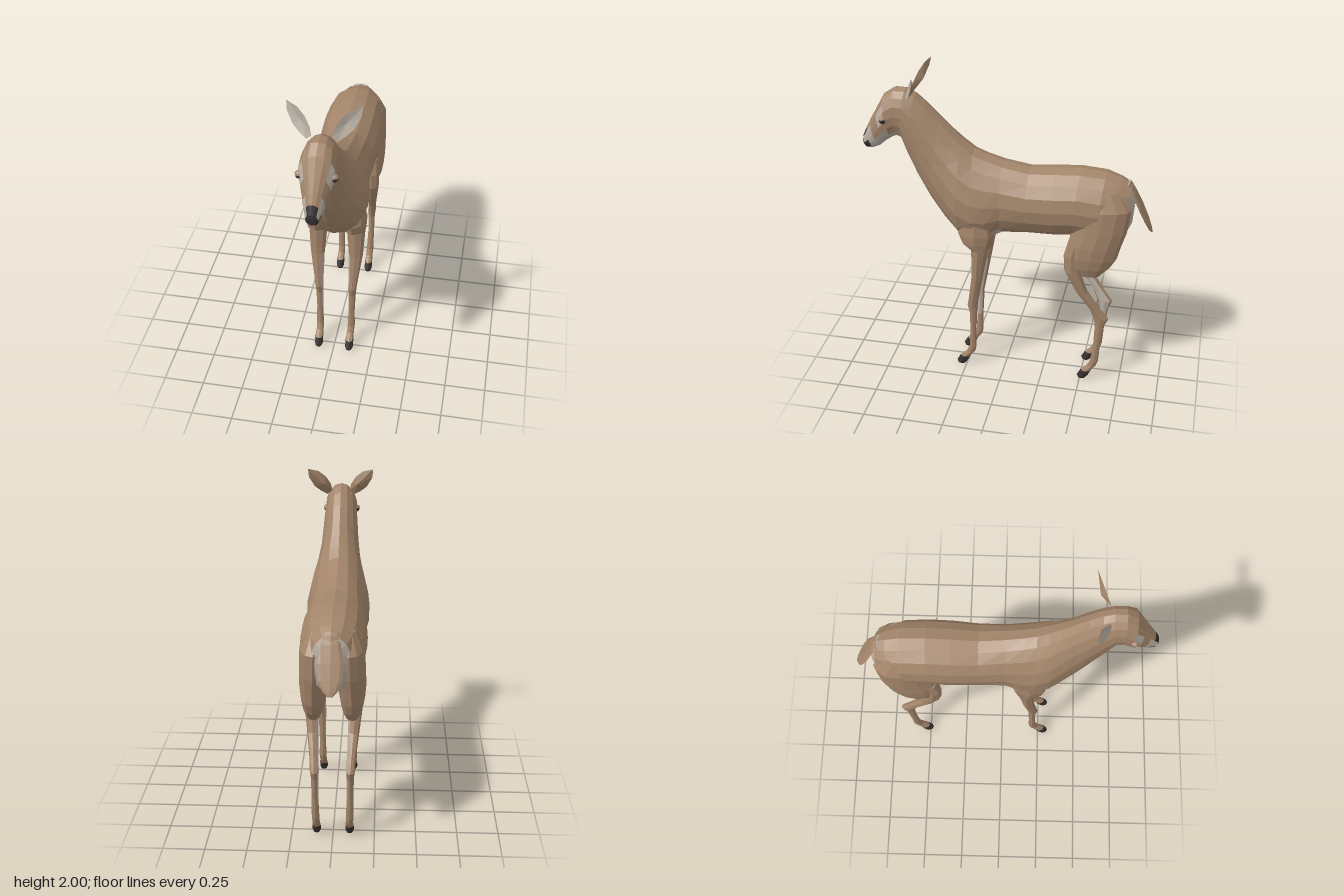
import * as THREE from 'three';

const V = (x, y, z) => new THREE.Vector3(x, y, z);

function mat(name, color) {
  const m = new THREE.MeshStandardMaterial({ color, flatShading: true });
  m.name = name;
  return m;
}

// Gathers triangles into one list per material and makes a grouped mesh.
function meshFrom(name, faces, mats) {
  const pos = [];
  const geo = new THREE.BufferGeometry();
  mats.forEach((m, k) => {
    const start = pos.length / 3;
    faces.filter(f => f.k === k).forEach(f => f.p.forEach(v => pos.push(v.x, v.y, v.z)));
    geo.addGroup(start, pos.length / 3 - start, k);
  });
  geo.setAttribute('position', new THREE.Float32BufferAttribute(pos, 3));
  geo.computeVertexNormals();
  const mesh = new THREE.Mesh(geo, mats);
  mesh.name = name;
  return mesh;
}

// Skins a row of rings; colour(i, centre) picks the material of each face.
function loft(name, rings, mats, colour = () => 0) {
  const faces = [], n = rings[0].length, last = rings.length - 1;
  const add = (i, ...p) => {
    const c = V(0, 0, 0);
    p.forEach(v => c.addScaledVector(v, 1 / p.length));
    const k = colour(i, c);
    if (p.length === 4) faces.push({ k, p: [p[0], p[1], p[2]] }, { k, p: [p[0], p[2], p[3]] });
    else faces.push({ k, p });
  };
  const mid = r => r.reduce((s, v) => s.addScaledVector(v, 1 / n), V(0, 0, 0));
  const a = mid(rings[0]), b = mid(rings[last]);
  for (let j = 0; j < n; j++) {
    const q = (j + 1) % n;
    for (let i = 0; i < last; i++) add(i, rings[i][j], rings[i + 1][j], rings[i + 1][q], rings[i][q]);
    add(0, a, rings[0][j], rings[0][q]);
    add(last, b, rings[last][q], rings[last][j]);
  }
  return meshFrom(name, faces, mats);
}

// Upright ring between a top and a bottom point; pear widens its lower half.
function bodyRing([zt, yt, zb, yb, w, pear = 0], n = 16) {
  return Array.from({ length: n }, (_, j) => {
    const t = j / n * Math.PI * 2, c = Math.cos(t), f = (1 + c) / 2;
    return V(w * Math.sin(t) * (1 - pear * c), yb + (yt - yb) * f, zb + (zt - zb) * f);
  });
}

// Level ring for limbs.
function limbRing([y, z, x, hz, hx], side, n = 8) {
  return Array.from({ length: n }, (_, j) => {
    const t = j / n * Math.PI * 2;
    return V(side * x + hx * Math.sin(t), y, z + hz * Math.cos(t));
  });
}

export function createModel() {
  const group = new THREE.Group();
  group.name = 'deer';
  const brown = mat('brown coat', 0xa3856a);
  const pale = mat('pale fur', 0xb8afa3);
  const dark = mat('dark horn', 0x35302e);
  const mats = [brown, pale, dark];

  // Torso, neck and head: [top z, top y, bottom z, bottom y, half width, pear]
  const body = [
    [-0.78, 1.32, -0.765, 1.12, 0.06],
    [-0.755, 1.375, -0.72, 1.02, 0.12],
    [-0.69, 1.41, -0.62, 0.98, 0.165],
    [-0.6, 1.44, -0.55, 1.0, 0.185],
    [-0.45, 1.45, -0.42, 1.02, 0.19],
    [-0.3, 1.44, -0.3, 1.005, 0.19],
    [-0.14, 1.425, -0.14, 1.0, 0.18],
    [0.02, 1.455, 0.02, 0.985, 0.175, 0.05],
    [0.13, 1.49, 0.1, 0.935, 0.19, 0.15],
    [0.2, 1.52, 0.19, 0.925, 0.195, 0.2],
    [0.27, 1.575, 0.29, 0.955, 0.185, 0.2],
    [0.33, 1.63, 0.38, 1.05, 0.155, 0.15],
    [0.4, 1.7, 0.47, 1.175, 0.13, 0.1],
    [0.48, 1.78, 0.55, 1.32, 0.115],
    [0.55, 1.84, 0.61, 1.46, 0.107],
    [0.61, 1.87, 0.645, 1.555, 0.1],
    [0.68, 1.87, 0.67, 1.565, 0.1, -0.05],
    [0.745, 1.825, 0.705, 1.55, 0.102, -0.1],
    [0.795, 1.735, 0.75, 1.52, 0.08, -0.08],
    [0.84, 1.655, 0.79, 1.485, 0.06],
    [0.868, 1.6, 0.83, 1.467, 0.047],
    [0.89, 1.55, 0.868, 1.465, 0.036],
    [0.893, 1.53, 0.885, 1.48, 0.022]
  ];
  group.add(loft('body', body.map(s => bodyRing(s)), mats, (i, c) => {
    const x = Math.abs(c.x);
    if (i === 0) return c.y < 1.34 ? 1 : 0;                        // rump patch
    if (i === 1) return x < 0.08 && c.y < 1.2 ? 1 : 0;
    if (i >= 4 && i <= 7) return c.y < 1.03 ? 1 : 0;               // belly
    if (i === 15 || i === 16) return c.y < 1.6 ? 1 : 0;            // throat
    if (i === 17) return c.y < 1.6 || (x > 0.07 && c.y > 1.64 && c.y < 1.73) ? 1 : 0;
    if (i === 18) return c.y < 1.565 ? 1 : 0;                      // jaw
    if (i === 19) return c.y < 1.53 || (x > 0.03 && c.y < 1.6) ? 1 : 0;
    if (i === 20) return c.y < 1.49 || (x > 0.025 && c.y > 1.53) ? 1 : 2; // muzzle
    return i > 20 ? 2 : 0;                                         // nose
  }));

  // Limb profiles, downwards: [y, z, x, half depth, half width]
  const thigh = [
    [1.36, -0.59, 0.08, 0.1, 0.06], [1.25, -0.605, 0.1, 0.16, 0.083],
    [1.1, -0.585, 0.105, 0.16, 0.085], [1.0, -0.555, 0.11, 0.16, 0.082],
    [0.92, -0.54, 0.112, 0.155, 0.074], [0.85, -0.53, 0.112, 0.125, 0.062],
    [0.79, -0.53, 0.112, 0.07, 0.04]
  ];
  const hindLeg = [
    [1.02, -0.45, 0.125, 0.05, 0.04], [0.92, -0.425, 0.13, 0.05, 0.045],
    [0.81, -0.432, 0.13, 0.05, 0.042], [0.67, -0.49, 0.12, 0.038, 0.034],
    [0.54, -0.58, 0.11, 0.037, 0.026], [0.475, -0.618, 0.105, 0.048, 0.027],
    [0.42, -0.612, 0.104, 0.03, 0.022], [0.28, -0.6, 0.104, 0.022, 0.02],
    [0.14, -0.588, 0.102, 0.025, 0.023], [0.1, -0.572, 0.1, 0.028, 0.022],
    [0.06, -0.538, 0.1, 0.033, 0.025], [0.015, -0.515, 0.1, 0.034, 0.026],
    [0, -0.512, 0.1, 0.025, 0.02]
  ];
  const frontLeg = [
    [1.1, 0.17, 0.11, 0.1, 0.07], [1.0, 0.17, 0.11, 0.12, 0.078],
    [0.94, 0.17, 0.11, 0.1, 0.075], [0.895, 0.15, 0.118, 0.055, 0.058],
    [0.7, 0.167, 0.12, 0.036, 0.044], [0.52, 0.195, 0.11, 0.032, 0.03],
    [0.46, 0.206, 0.106, 0.032, 0.027], [0.4, 0.2, 0.104, 0.024, 0.024],
    [0.27, 0.203, 0.103, 0.02, 0.02], [0.14, 0.207, 0.102, 0.023, 0.023],
    [0.1, 0.222, 0.1, 0.027, 0.022], [0.06, 0.258, 0.1, 0.033, 0.025],
    [0.015, 0.282, 0.1, 0.034, 0.026], [0, 0.284, 0.1, 0.025, 0.02]
  ];
  // Ear outline and tilt
  const rim = [[0.055, 1.845], [0.065, 1.89], [0.095, 1.94], [0.14, 1.98], [0.205, 2.0],
    [0.2, 1.945], [0.165, 1.88], [0.125, 1.845], [0.085, 1.82]];
  const earPoint = ([x, y], side, back = 0) =>
    V(side * (x - back * 0.4), y, 0.6 - 0.35 * (x - 0.05) - 0.22 * (y - 1.82) - back);

  for (const side of [1, -1]) {
    const label = side > 0 ? 'left' : 'right';
    const inside = (p, rings) => (i, c) => {
      if (i >= p.length - 3) return 2;                             // hoof
      const s = p[Math.min(i, p.length - 1)];
      return c.y > 0.3 && c.y < rings && side * c.x < s[2] - 0.6 * s[4] ? 1 : 0;
    };
    group.add(loft(label + 'Thigh', thigh.map(s => limbRing(s, side, 12)), mats));
    group.add(loft(label + 'HindLeg', hindLeg.map(s => limbRing(s, side)), mats, inside(hindLeg, 0.8)));
    group.add(loft(label + 'FrontLeg', frontLeg.map(s => limbRing(s, side)), mats, inside(frontLeg, 0.75)));

    // Cupped ear: pale inside, brown outside
    const faces = [], front = earPoint([0.125, 1.905], side, 0.012), back = earPoint([0.115, 1.895], side, 0.03);
    rim.forEach((r, j) => {
      const a = earPoint(r, side), b = earPoint(rim[(j + 1) % rim.length], side);
      const [p, q] = side > 0 ? [b, a] : [a, b];
      faces.push({ k: 1, p: [front, p, q] }, { k: 0, p: [back, q, p] });
    });
    group.add(meshFrom(label + 'Ear', faces, mats));

    // Eye with a brown lid above it
    const eye = new THREE.Mesh(new THREE.SphereGeometry(0.022, 8, 6), dark);
    eye.name = label + 'Eye';
    eye.position.set(side * 0.095, 1.69, 0.735);
    const lid = new THREE.Mesh(new THREE.SphereGeometry(0.026, 8, 3, 0, Math.PI * 2, 0, Math.PI * 0.4), brown);
    lid.name = label + 'Eyelid';
    lid.position.copy(eye.position);
    group.add(eye, lid);
  }

  // Flat tail, pale beneath: [z, y, half width, half thickness]
  const tail = [[-0.73, 1.385, 0.045, 0.012], [-0.765, 1.325, 0.055, 0.014], [-0.81, 1.235, 0.073, 0.012],
    [-0.85, 1.15, 0.066, 0.01], [-0.875, 1.095, 0.04, 0.008], [-0.888, 1.07, 0.012, 0.004]];
  const tailRings = tail.map(([z, y, w, h]) => Array.from({ length: 8 }, (_, j) => {
    const t = j / 8 * Math.PI * 2;
    return V(-w * Math.sin(t), y + h * 0.4 * Math.cos(t), z - h * 0.9 * Math.cos(t));
  }));
  group.add(loft('tail', tailRings, mats, (i, c) => {
    const s = tail[i], e = tail[Math.min(i + 1, tail.length - 1)];
    return c.z > (s[0] + e[0]) / 2 + 0.004 ? 1 : 0;
  }));

  return group;
}
